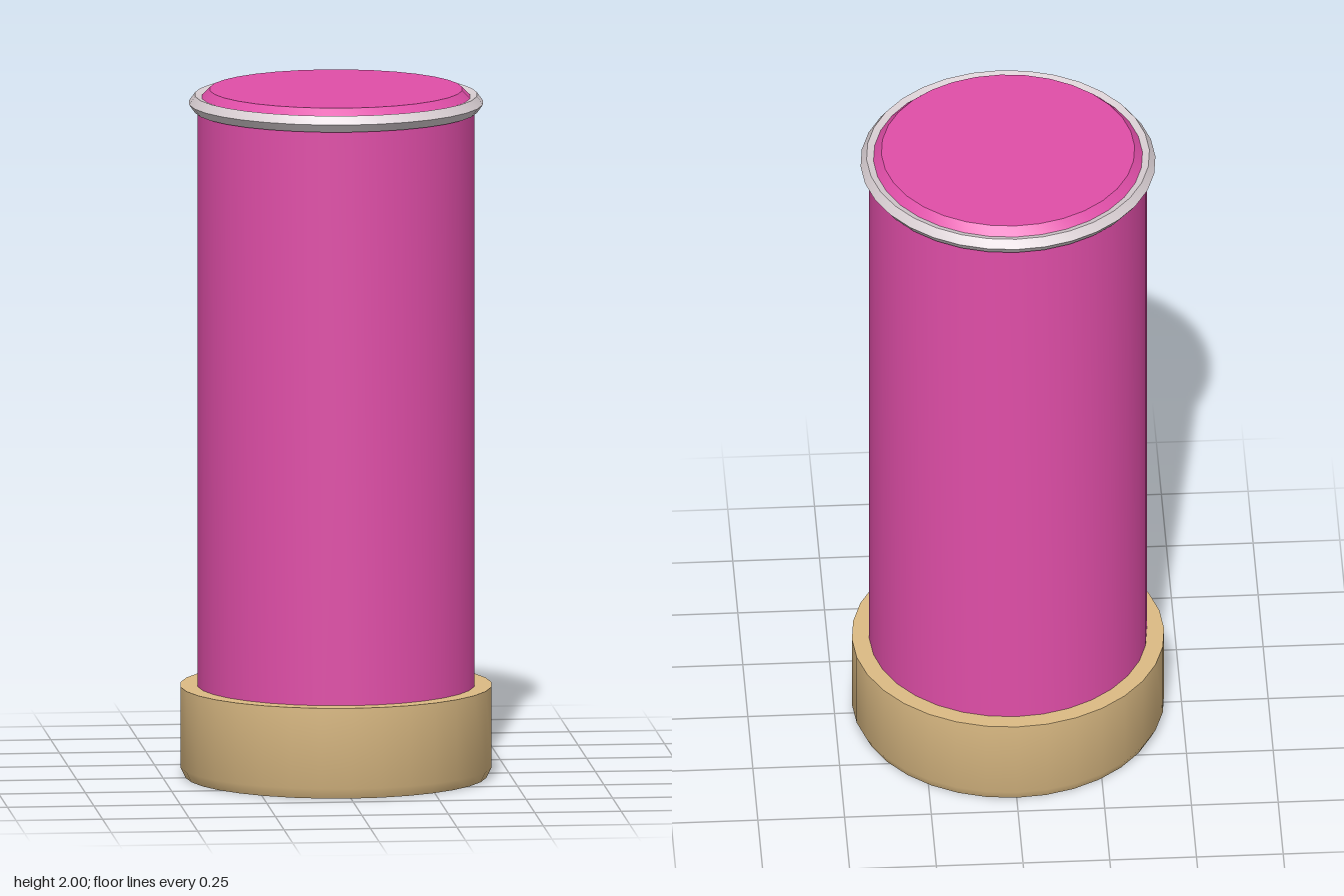
import * as THREE from 'three';
import { toCreasedNormals } from 'three/addons/utils/BufferGeometryUtils.js';

const SIDES = 32;

function material(name, color) {
  const m = new THREE.MeshStandardMaterial({ color });
  m.name = name;
  return m;
}

// Turned part from [radius, height] pairs, smooth around and sharp at the rims
function turned(name, profile, mat) {
  const points = profile.map(([r, y]) => new THREE.Vector2(r, y));
  const geometry = toCreasedNormals(new THREE.LatheGeometry(points, SIDES), 0.55);
  const mesh = new THREE.Mesh(geometry, mat);
  mesh.name = name;
  return mesh;
}

export function createModel() {
  const pink = material('pink', 0xe04ea8);
  const tan = material('tan', 0xdcbb84);
  const silver = material('silver', 0xdad0d4);

  const group = new THREE.Group();
  group.name = 'capsule';

  // Wide foot with a slightly tapered lower edge
  group.add(turned('base', [[0, 0], [0.435, 0], [0.45, 0.03], [0.45, 0.265], [0, 0.265]], tan));

  // Tall cylinder with a bevelled top
  group.add(turned('body', [[0.4, 0.2], [0.4, 1.965], [0.365, 2], [0, 2]], pink));

  // Thin five-sided rim around the top edge
  const rim = [];
  for (let i = 0; i <= 5; i++) {
    const a = (i / 5) * Math.PI * 2;
    rim.push([0.4 + 0.025 * Math.cos(a), 1.96 + 0.025 * Math.sin(a)]);
  }
  group.add(turned('rimRing', rim, silver));

  return group;
}
